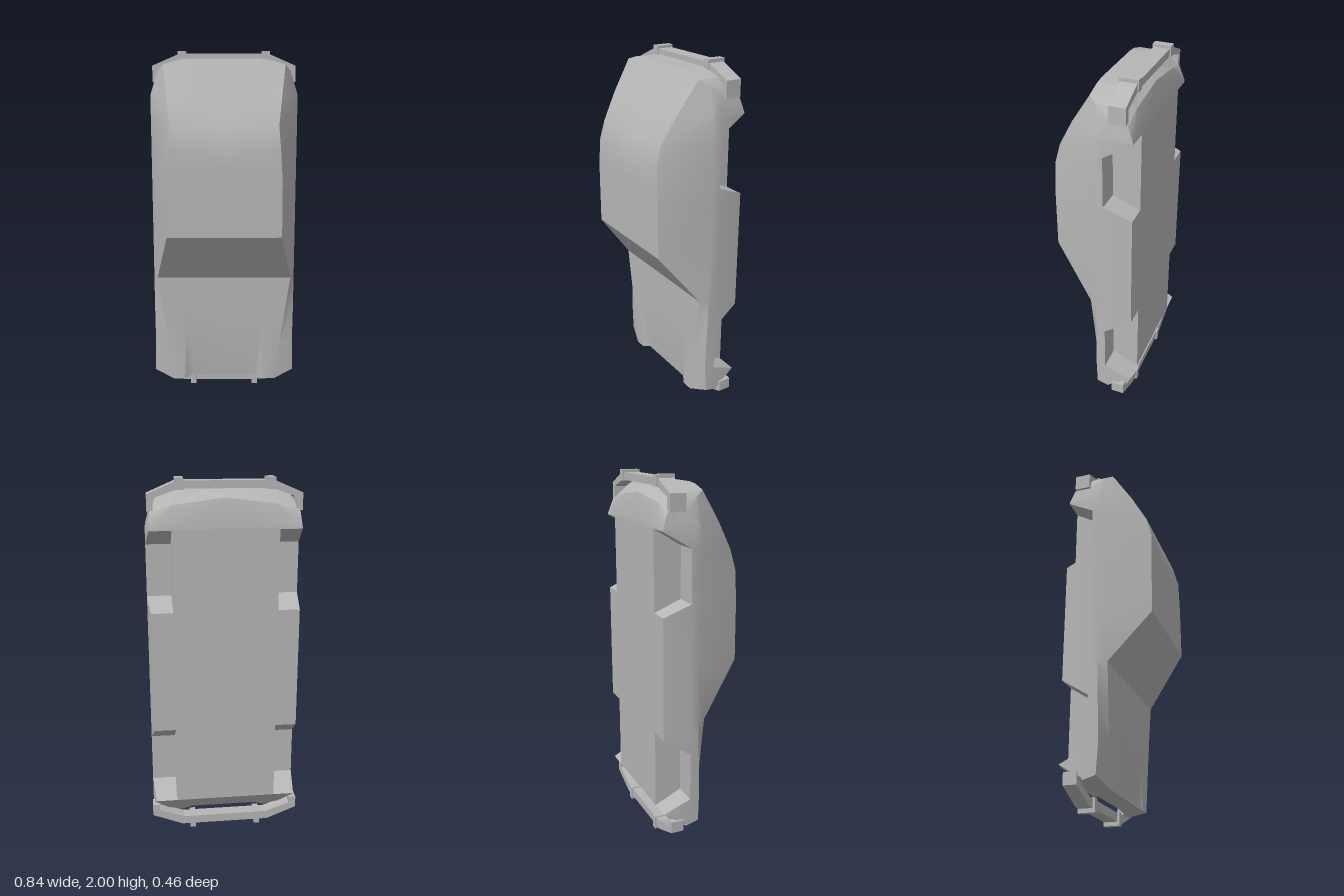
import * as THREE from 'three';
import { toCreasedNormals } from 'three/addons/utils/BufferGeometryUtils.js';

const paint = new THREE.MeshStandardMaterial({ color: 0xb6b6b6 });
paint.name = 'bodyGrey';

const SILL = -0.23, ARCH = -0.08, WIDE = 0.413, INNER = 0.28;

// Lower half of a section: flank, sill, wheel well wall and floor centre
function lower(y, inWell, flank = [WIDE, y, ARCH]) {
  const z = inWell ? ARCH : SILL;
  const sill = inWell ? flank : [0.397, y, SILL];
  return [flank, sill, [INNER, y, z], [INNER, y, SILL], [0, y, SILL]];
}

// Section with a flat top of height z and half width w
function section(y, z, w, lowY, inWell) {
  const top = [0, 0.55, 0.62, 1].map((t) => [t * w, y, z]);
  return [...top, [0.409, y, Math.max(-0.035, -0.02 - z)], ...lower(lowY, inWell)];
}

// Bonnet lip with raised lamp ridges, and the nose edge below it
function noseRings() {
  const top = [[0, 0.1, -0.022], [0.19, 0.1, -0.022], [0.235, 0.085, 0.004], [0.3, 0.085, 0.004], [0.412, 0.13, -0.03]];
  const lip = [...top, ...lower(0.2, false, [WIDE, 0.14, ARCH])];
  const edge = lip.map(([x, y, z], i) => (i < 6 ? [x, y - 0.02, -0.1] : [x, y, z]));
  return [edge, lip];
}

// Where the lamp ridges fade into the bonnet
function ridgeRing() {
  const top = [[0, 0.35, 0.004], [0.213, 0.35, 0.005], [0.222, 0.35, 0.006], [0.33, 0.32, 0.006], [0.406, 0.3, -0.022]];
  return [...top, ...lower(0.27, true)];
}

// Tail lip and the edge below it, which tucks in under the boot
function tailRings() {
  const top = [[0, 1.957], [0.19, 1.957], [0.25, 1.95], [0.335, 1.925]].map(([x, y]) => [x, y, 0.012]);
  const lip = [...top, [0.365, 1.895, -0.035], ...lower(1.75, false, [0.385, 1.85, ARCH])];
  const edge = lip.map(([x, y], i) => (i < 6 ? [x, y, -0.11] : [x * 0.98, 1.9 - 0.45 * x * x, -0.2]));
  return [lip, edge];
}

// Half sections from nose to tail, each from top centre round to floor centre
function sections() {
  return [
    ...noseRings(),
    ridgeRing(),
    section(0.54, 0.009, 0.36, 0.54, true),
    section(0.64, 0.011, 0.374, 0.64, false),
    section(0.72, 0.012, 0.386, 0.72, false),
    section(1.01, 0.232, 0.313, 1.01, false),
    section(1.31, 0.232, 0.311, 1.31, false),
    section(1.37, 0.232, 0.307, 1.37, true),
    section(1.5, 0.23, 0.298, 1.5, true),
    section(1.61, 0.202, 0.29, 1.65, true),
    section(1.76, 0.12, 0.31, 1.74, false),
    ...tailRings(),
  ];
}

function bodyGeometry() {
  const rings = sections();
  const pos = [];
  const va = new THREE.Vector3(), vb = new THREE.Vector3(), vc = new THREE.Vector3();
  // Adds a triangle and its mirror image, leaving out empty ones
  const tri = (a, b, c) => {
    va.fromArray(a);
    vb.fromArray(b).sub(va);
    vc.fromArray(c).sub(va);
    if (vb.cross(vc).length() < 1e-8) return;
    pos.push(...a, ...b, ...c);
    for (const p of [a, c, b]) pos.push(-p[0], p[1], p[2]);
  };
  const quad = (a, b, c, d) => { tri(a, b, c); tri(a, c, d); };

  for (let s = 0; s < rings.length - 1; s++) {
    for (let i = 0; i < 9; i++) {
      quad(rings[s][i], rings[s][i + 1], rings[s + 1][i + 1], rings[s + 1][i]);
    }
  }
  // Close nose and tail by joining upper points to lower ones
  const nose = rings[0], tail = rings[rings.length - 1];
  for (let i = 0; i < 5; i++) {
    quad(nose[i], nose[9 - i], nose[8 - i], nose[i + 1]);
    quad(tail[i], tail[i + 1], tail[8 - i], tail[9 - i]);
  }
  const g = new THREE.BufferGeometry();
  g.setAttribute('position', new THREE.Float32BufferAttribute(pos, 3));
  return toCreasedNormals(g, 0.48);
}

// Wraparound bar from a half outline, mirrored and extruded in depth
function bumperGeometry(half, z0, z1) {
  const mirrored = half.map(([x, y]) => [-x, y]).reverse();
  const shape = new THREE.Shape([...half, ...mirrored].map(([x, y]) => new THREE.Vector2(x, y)));
  const g = new THREE.ExtrudeGeometry(shape, { depth: z1 - z0, bevelEnabled: false });
  return g.translate(0, 0, z0);
}

export function createModel() {
  const model = new THREE.Group();
  model.name = 'carBody';
  const add = (name, geometry) => {
    const mesh = new THREE.Mesh(geometry, paint);
    mesh.name = name;
    model.add(mesh);
    return mesh;
  };

  add('bodyShell', bodyGeometry());

  // Bumpers
  add('frontBumper', bumperGeometry(
    [[0.25, 0.022], [0.42, 0.09], [0.42, 0.155], [0.38, 0.155], [0.38, 0.12], [0.24, 0.07]], -0.195, -0.123));
  add('rearBumper', bumperGeometry(
    [[0.24, 1.945], [0.37, 1.9], [0.37, 1.83], [0.402, 1.83], [0.402, 1.92], [0.25, 1.985]], -0.195, -0.108));

  // Upright bumper guards
  for (const side of [1, -1]) {
    add('frontBumperGuard', new THREE.BoxGeometry(0.032, 0.075, 0.092)).position.set(side * 0.188, 0.0375, -0.156);
    add('rearBumperGuard', new THREE.BoxGeometry(0.043, 0.06, 0.1)).position.set(side * 0.236, 1.97, -0.152);
  }
  return model;
}
